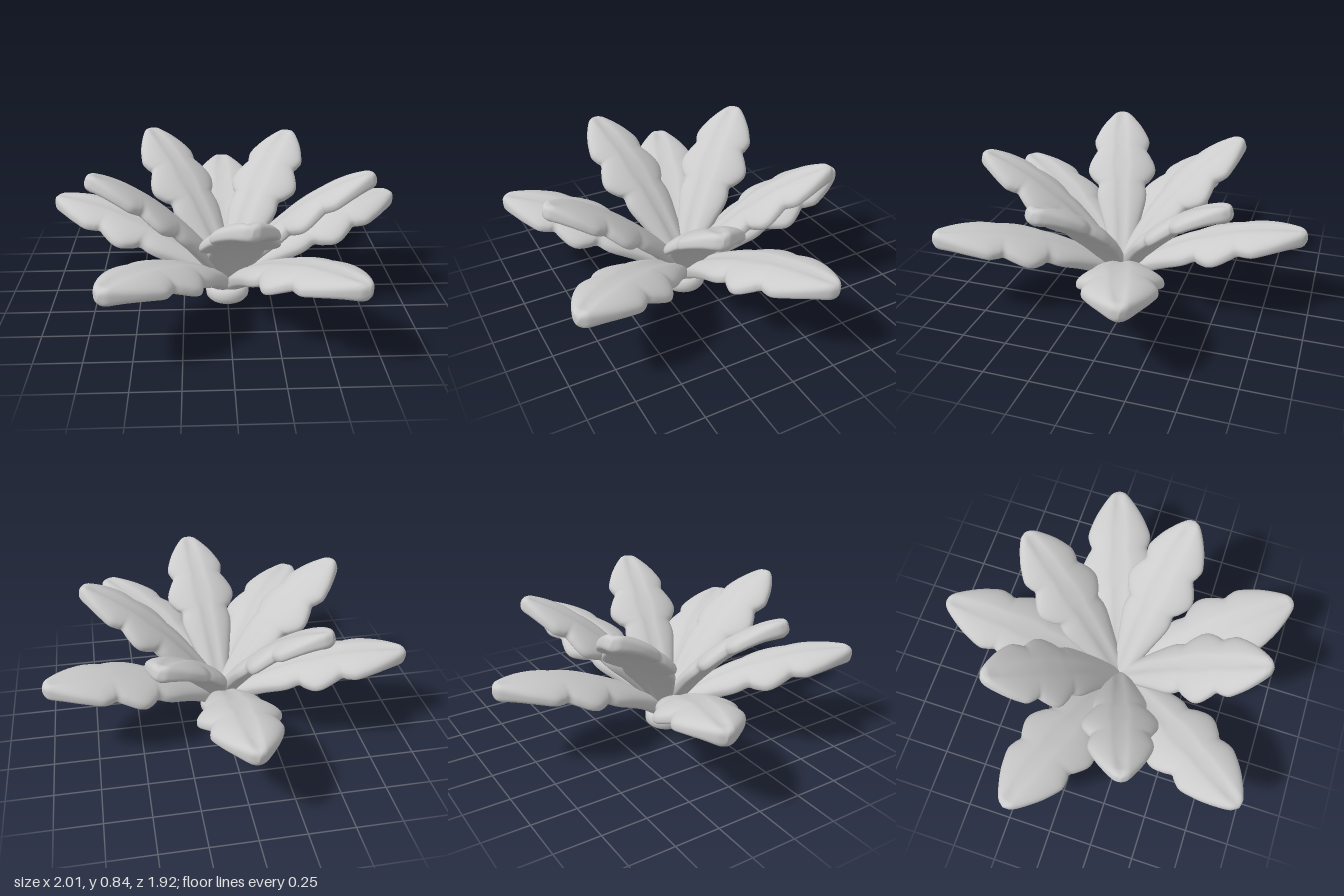
import * as THREE from 'three';

// Leaf outline: fraction of length, half width (scalloped lobes, pointed tip)
const outline = new THREE.SplineCurve([
  [0, 0.045], [0.12, 0.085], [0.25, 0.13], [0.33, 0.157], [0.38, 0.163], [0.43, 0.157],
  [0.46, 0.188], [0.51, 0.222], [0.56, 0.222], [0.62, 0.193], [0.66, 0.168], [0.69, 0.178],
  [0.74, 0.187], [0.8, 0.166], [0.86, 0.136], [0.92, 0.096], [0.96, 0.064], [0.985, 0.038], [1, 0],
].map(([f, w]) => new THREE.Vector2(f, w)));

const signedPow = (v, p) => Math.sign(v) * Math.abs(v) ** p;

// Thick leaf pointing along +z, its rib rising as y = base + rise * f + bend * f^2
function leafGeometry({ length, width, thickness, base, rise, bend }) {
  const rows = 90, sides = 48, positions = [], indices = [];
  for (let i = 0; i <= rows; i++) {
    const p = outline.getPoint(i / rows);
    const f = p.x, w = Math.max(p.y, 0) * width;
    const slope = Math.atan2(rise + 2 * bend * f, length);
    const h = thickness * Math.sqrt(Math.min(1, w / 0.06));
    for (let j = 0; j < sides; j++) {
      const a = (j / sides) * Math.PI * 2;
      const x = w * signedPow(Math.cos(a), 0.75);
      // Shallow crease along the midrib, edges drooping to both sides
      const crease = 0.012 * Math.max(0, 1 - Math.abs(x) / 0.04) * Math.min(1, w / 0.1);
      const n = h * signedPow(Math.sin(a), 0.7) - crease - 0.9 * x * x;
      positions.push(x, base + rise * f + bend * f * f + n * Math.cos(slope), length * f - n * Math.sin(slope));
      if (i < rows) {
        const k = i * sides, j2 = (j + 1) % sides;
        indices.push(k + j, k + j2, k + sides + j, k + j2, k + sides + j2, k + sides + j);
      }
    }
  }
  // Close the root
  for (let j = 1; j < sides - 1; j++) indices.push(0, j + 1, j);
  const geometry = new THREE.BufferGeometry();
  geometry.setAttribute('position', new THREE.Float32BufferAttribute(positions, 3));
  geometry.setIndex(indices);
  geometry.computeVertexNormals();
  return geometry;
}

export function createModel() {
  const material = new THREE.MeshStandardMaterial({ color: 0xcccccc });
  const model = new THREE.Group();
  model.name = 'leafRosette';
  const plant = new THREE.Group();
  plant.name = 'plant';
  plant.position.z = 0.1;
  model.add(plant);

  // Rounded stem disc
  const profile = [[0, 0], [0.09, 0], [0.108, 0.006], [0.121, 0.022], [0.124, 0.045],
    [0.121, 0.068], [0.108, 0.084], [0.09, 0.09], [0, 0.09]];
  const stem = new THREE.Mesh(
    new THREE.LatheGeometry(profile.map(([x, y]) => new THREE.Vector2(x, y)), 40), material);
  stem.name = 'stemBase';
  plant.add(stem);

  // Two rings of five leaves: [turn, upward tilt] in degrees for each leaf
  const rings = [
    {
      name: 'outerLeaf', length: 1.055, width: 1, thickness: 0.049, base: 0.083, rise: 0.82, bend: -0.422,
      leaves: [[36, 0], [108, 0], [180, 0], [252, 0], [324, 0]],
    },
    {
      name: 'innerLeaf', length: 0.815, width: 0.91, thickness: 0.044, base: 0.1, rise: 1.12, bend: -0.45,
      leaves: [[5.7, 0], [76.5, 1.5], [149, 0], [216.9, 3.6], [287.5, 3.2]],
    },
  ];
  for (const { name, leaves, ...shape } of rings) {
    const geometry = leafGeometry(shape);
    leaves.forEach(([turn, tilt], i) => {
      const leaf = new THREE.Mesh(geometry, material);
      leaf.name = `${name}${i + 1}`;
      leaf.rotation.set(-THREE.MathUtils.degToRad(tilt), THREE.MathUtils.degToRad(turn), 0, 'YXZ');
      plant.add(leaf);
    });
  }
  return model;
}
